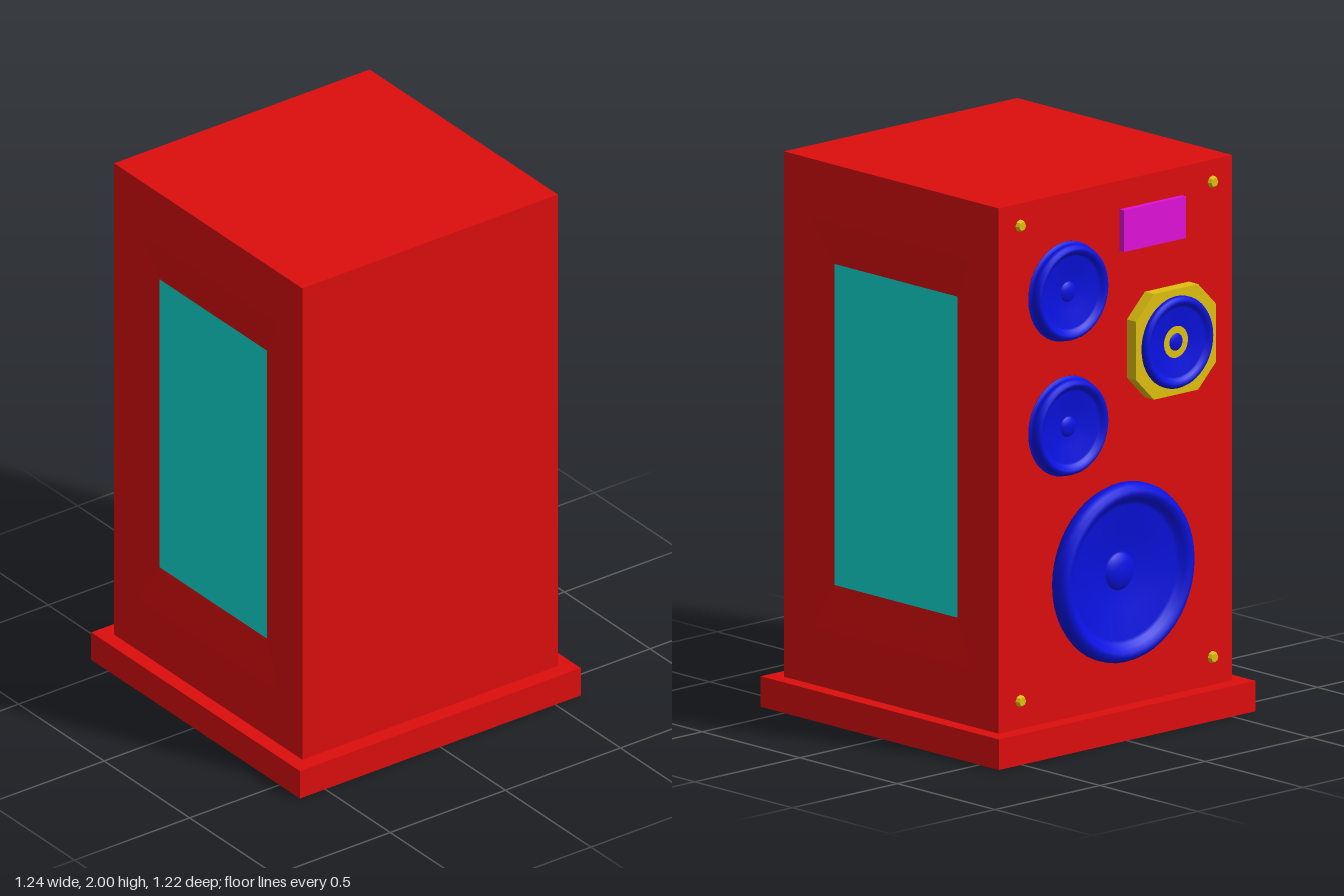
import * as THREE from 'three';

const material = (color, extra = {}) => new THREE.MeshStandardMaterial({ color, ...extra });
const red = material(0xdd0d0d, { flatShading: true });
const cyan = material(0x0fe0d8);
const blue = material(0x0a12e0, { side: THREE.DoubleSide });
const yellow = material(0xe0c010, { flatShading: true });
const magenta = material(0xe010d8);

const CX = 0.01;      // cabinet centre line
const SIDE = -0.54;   // face that carries the drivers

function add(parent, name, geometry, mat, x = 0, y = 0, z = 0) {
  const mesh = new THREE.Mesh(geometry, mat);
  mesh.name = name;
  mesh.position.set(x, y, z);
  parent.add(mesh);
  return mesh;
}

// Loft through rectangles [halfWidth, bottom, top, z] running from back to front
function loftRectangles(sections) {
  const positions = [], index = [];
  for (const [w, y0, y1, z] of sections) {
    positions.push(-w, y0, z, w, y0, z, w, y1, z, -w, y1, z);
  }
  for (let i = 0; i < sections.length - 1; i++) {
    for (let j = 0; j < 4; j++) {
      const a = i * 4 + j, b = i * 4 + (j + 1) % 4;
      index.push(a, b, b + 4, a, b + 4, a + 4);
    }
  }
  const indexed = new THREE.BufferGeometry();
  indexed.setAttribute('position', new THREE.Float32BufferAttribute(positions, 3));
  indexed.setIndex(index);
  const geometry = indexed.toNonIndexed();
  geometry.computeVertexNormals();
  return geometry;
}

// Speaker: rounded surround, shallow cone and dust cap, facing -x
function addDriver(parent, name, r, h, x, y, z, flange = 0.93) {
  const profile = [
    [0, 0], [flange, 0], [flange, 0.06], [0.97, 0.15], [1, 0.38], [1, 0.62], [0.975, 0.85],
    [0.93, 1], [0.88, 1], [0.83, 0.85], [0.79, 0.66], [0.75, 0.62], [0.7, 0.6],
    [0.45, 0.42], [0.22, 0.25], [0.2, 0.3], [0.17, 0.42], [0.09, 0.5], [0, 0.52],
  ].map(([pr, ph]) => new THREE.Vector2(pr * r, ph * h));
  const mesh = add(parent, name, new THREE.LatheGeometry(profile, 48), blue, x, y, z);
  mesh.rotation.z = Math.PI / 2;
}

export function createModel() {
  const model = new THREE.Group();
  model.name = 'speakerCabinet';

  // Plinth
  add(model, 'plinth', new THREE.BoxGeometry(1.22, 0.11, 1.22), red, CX, 0.055, 0);

  // Cabinet with a shallow bevelled recess on front and back
  const outer = [0.55, 0.11, 2], rim = [0.41, 0.32, 1.79], inner = [0.315, 0.48, 1.635];
  const face = 0.555, recess = 0.533;
  add(model, 'cabinet', loftRectangles([
    [...inner, -recess], [...rim, -face], [...outer, -face],
    [...outer, face], [...rim, face], [...inner, recess],
  ]), red, CX);

  // Recessed panels
  for (const s of [1, -1]) {
    const panel = add(model, s > 0 ? 'frontPanel' : 'backPanel',
      new THREE.PlaneGeometry(0.63, 1.155), cyan, CX, 1.0575, s * recess);
    if (s < 0) panel.rotation.y = Math.PI;
  }

  // Woofer and two midrange drivers
  addDriver(model, 'woofer', 0.322, 0.08, SIDE, 0.603, 0);
  addDriver(model, 'upperMidrange', 0.172, 0.044, -0.563, 1.655, -0.257, 1.04);
  addDriver(model, 'lowerMidrange', 0.172, 0.044, -0.563, 1.17, -0.257, 1.04);

  // Tweeter on an eight-sided mount
  const a = 0.19, b = 0.105;
  const octagon = new THREE.Shape([
    [a, -b], [a, b], [b, a], [-b, a], [-a, b], [-a, -b], [-b, -a], [b, -a],
  ].map(([u, v]) => new THREE.Vector2(u, v)));
  const mount = add(model, 'tweeterMount',
    new THREE.ExtrudeGeometry(octagon, { depth: 0.047, bevelEnabled: false }),
    yellow, SIDE, 1.39, 0.245);
  mount.rotation.y = -Math.PI / 2;
  addDriver(model, 'tweeter', 0.165, 0.035, -0.575, 1.39, 0.245);

  // Name plate, left blank
  add(model, 'plate', new THREE.BoxGeometry(0.022, 0.15, 0.295), magenta, -0.551, 1.822, 0.168);

  // Corner screws
  for (const y of [0.21, 1.92]) {
    for (const z of [-0.453, 0.462]) {
      const screw = add(model, 'screw',
        new THREE.CylinderGeometry(0.016, 0.023, 0.014, 8), yellow, SIDE - 0.006, y, z);
      screw.rotation.z = Math.PI / 2;
    }
  }
  return model;
}
